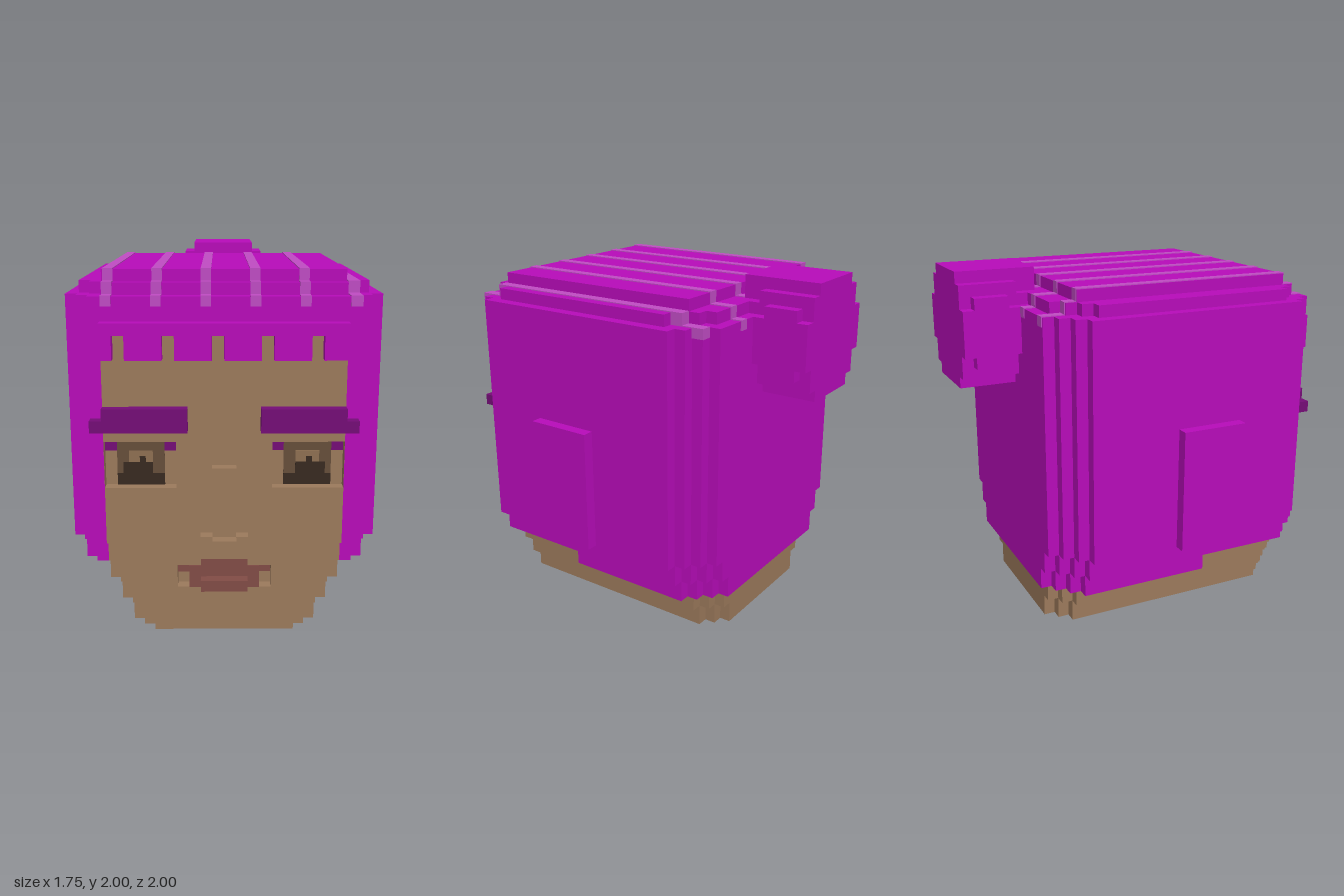
import * as THREE from 'three';

const UNIT = 1 / 16; // one block; everything below is measured in blocks

const paint = (name, color) => {
  const m = new THREE.MeshStandardMaterial({ color });
  m.name = name;
  return m;
};

export function createModel() {
  const hair = paint('magenta hair', 0xb80cba);
  const streak = paint('light hair streak', 0xc04cc4);
  const plum = paint('plum brow', 0x750d77);
  const skin = paint('skin', 0x9c7a5c);
  const lip = paint('lip', 0x824c46);
  const lid = paint('eye brown', 0x664e3a);
  const pupil = paint('pupil', 0x382a20);
  const glint = paint('eye glint', 0x8f7052);

  const model = new THREE.Group();
  model.name = 'blockHead';
  model.scale.setScalar(UNIT);

  const add = (name, geometry, material) => {
    const mesh = new THREE.Mesh(geometry, material);
    mesh.name = name;
    model.add(mesh);
    return mesh;
  };
  const box = (name, material, x0, x1, y0, y1, z0, z1) =>
    add(name, new THREE.BoxGeometry(x1 - x0, y1 - y0, z1 - z0), material)
      .position.set((x0 + x1) / 2, (y0 + y1) / 2, (z0 + z1) / 2);
  const pair = (name, material, x0, x1, ...rest) => {
    box(name + 'Left', material, x0, x1, ...rest);
    box(name + 'Right', material, -x1, -x0, ...rest);
  };
  // closed shape from the points of its +x half
  const mirrored = (half) => new THREE.Shape(
    [...half, ...half.map(([x, y]) => [-x, y]).reverse()].map(([x, y]) => new THREE.Vector2(x, y)));
  const extrude = (shape, depth) => new THREE.ExtrudeGeometry(shape, { depth, bevelEnabled: false });

  // horizontal slab with stepped corners at the front and back
  const layer = (name, material, w, y0, y1, zf, sf, zb, sb) => {
    const half = [[w - sf, -zf]];
    for (let i = 1; i <= sf; i++) half.push([w - sf + i - 1, i - zf], [w - sf + i, i - zf]);
    half.push([w, -zb - sb]);
    for (let i = 1; i <= sb; i++) half.push([w - i, -zb - sb + i - 1], [w - i, -zb - sb + i]);
    const g = extrude(mirrored(half), y1 - y0).rotateX(-Math.PI / 2);
    add(name, g.translate(0, y0, 0), material);
  };

  // jaw
  layer('chin', skin, 8, 0, 2, 13, 1, -10, 2);
  layer('jaw', skin, 9, 2, 4, 13, 1, -10, 2);
  layer('cheeks', skin, 10, 4, 6, 13, 1, -5, 0);
  box('upperCheeks', skin, -10, 10, 6, 8, 12, 13);

  // hair mass
  layer('hairHem', hair, 11, 4, 6, 4, 0, -11, 3);
  layer('hairLower', hair, 12, 6, 8, 12, 0, -11, 3);
  pair('hairLowerCorner', hair, 10, 11, 6, 8, 12, 13);
  layer('hairBody', hair, 13, 8, 29, 13, 1, -11, 3);
  layer('hairCrown', hair, 12, 29, 30, 13, 2, -10, 3);
  layer('hairTop', hair, 10, 30, 31, 12, 0, -8, 0);
  pair('hairFrontEdge', hair, 10, 11, 8, 29, 13, 14);
  box('hairline', hair, -10, 10, 26, 29, 13, 14);
  pair('sidePad', hair, 13, 14, 8, 19, 0, 6);

  // fringe with notches
  box('fringeBand', hair, -10, 10, 26, 27, 14, 15);
  for (const [a, b] of [[-10, -9], [-8, -5], [-4, -1], [0, 3], [4, 7], [8, 10]])
    box('fringeLock', hair, a, b, 24, 26, 14, 15);

  // face front with openings for the eyes and mouth corners
  const face = mirrored([[6, 0], [6, 2], [7, 2], [7, 4], [8, 4], [8, 6], [9, 6], [9, 8], [10, 8], [10, 26]]);
  const hole = (x0, x1, y0, y1) => face.holes.push(new THREE.Path(
    [[x0, y0], [x0, y1], [x1, y1], [x1, y0]].map(([x, y]) => new THREE.Vector2(x, y))));
  hole(3, 4, 4, 6);
  hole(-4, -3, 4, 6);
  hole(4, 9.99, 13, 17);
  hole(-9.99, -4, 13, 17);
  add('face', extrude(face, 1).translate(0, 0, 13), skin);

  // eyes
  pair('eyeSocket', skin, 4, 10, 13, 17, 12.95, 13.03);
  pair('eyeShadowInner', plum, 4, 5, 16, 17, 13, 13.07);
  pair('eyeShadowOuter', plum, 9, 10, 16, 17, 13, 13.07);
  pair('eyelid', lid, 5, 9, 13, 17, 13, 13.07);
  pair('iris', pupil, 5, 9, 13, 14, 13, 13.11);
  for (const x of [-8.5, 6]) box('pupil', pupil, x, x + 2.5, 14, 15, 13, 13.11);
  for (const x of [-8, 6]) {
    box('eyeGlint', glint, x, x + 2, 15, 16, 13, 13.11);
    box('pupilTop', pupil, x + 0.9, x + 1.4, 15, 15.5, 13, 13.14);
  }

  // brows
  pair('brow', plum, 3, 10, 18, 20, 14, 15);
  pair('browTail', plum, 10, 11, 18, 19, 14, 15);

  // nose
  box('noseBridge', skin, -1, 1, 9, 15, 14, 15);
  box('nostrils', skin, -2, 2, 7, 9, 14, 15);
  box('noseTip', skin, -1, 1, 8, 9, 15, 16);

  // mouth
  box('lips', lip, -3, 3, 4, 6, 14, 14.07);
  box('upperLip', lip, -2, 2, 6, 7, 14, 14.07);
  box('lowerLip', lip, -2, 2, 4, 5, 14, 15);
  pair('mouthCorner', lip, 3, 4, 5, 6, 13, 13.07);

  // streaks stepping over the crown, a hair above the surface
  const t = 0.08;
  for (const x of [-10, -6, -2, 2, 6, 10]) {
    const edge = x === 10;
    const x0 = x + 0.1, x1 = edge ? 11 + t : x + 0.95;
    if (!edge) box('streakTop', streak, x0, x1, 30, 31 + t, -8 - t, 12 + t);
    const [b, f] = edge ? [-8, 12] : [x === -10 ? -9 : -10, 13];
    box('streakCrown', streak, x0, edge ? 11 + t : x1, 29, 30 + t, b - t, f + t);
    box('streakEnd', streak, x0, x1, 28.2, 29 + t, (edge ? -10 : -11) - t, 14 + t);
  }

  // bun: stepped round slices, half-widths listed from the middle row outward
  const slice = (z0, z1, widths) => {
    const half = [];
    const n = widths.length;
    for (let r = -n; r < n; r++) {
      const w = widths[r < 0 ? -r - 1 : r];
      half.push([w, 27 + r], [w, 28 + r]);
    }
    add('bun', extrude(mirrored(half), z1 - z0).translate(0, 0, z0), hair);
  };
  slice(-16, -15, [5, 5, 4, 4, 3]);
  slice(-15, -14, [5, 5, 5, 4, 3]);
  slice(-14, -12, [5, 5, 5, 4, 3]);
  slice(-12, -11, [5, 5, 4, 4, 3]);
  slice(-11, -10, [5, 4, 4, 3, 3]);
  slice(-10, -9, [4, 4, 3, 3, 3]);

  return model;
}
